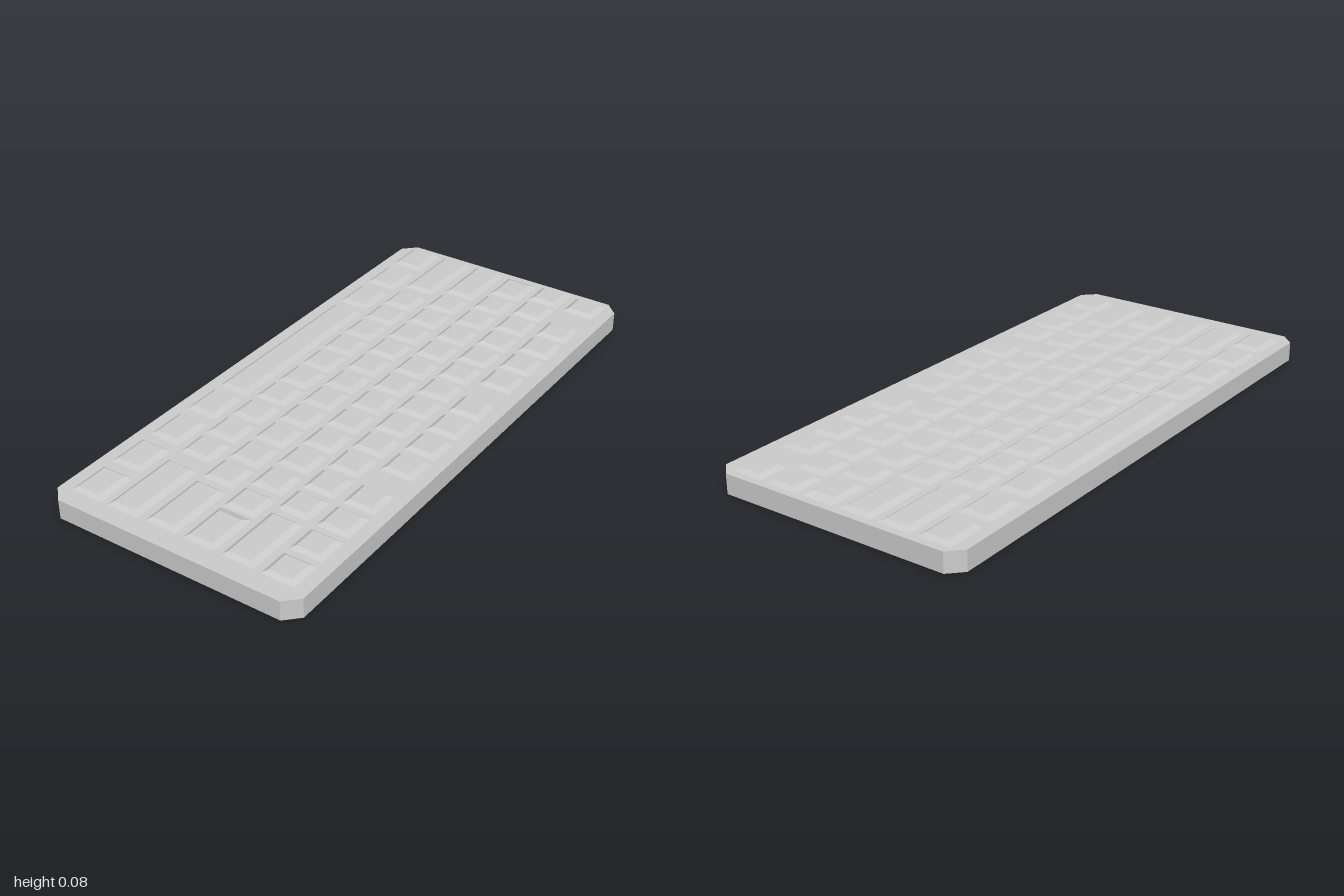
import * as THREE from 'three';

const TOP = 0.068;      // deck height
const KEY_H = 0.012;    // keycap height
const KEY_W = 0.116;    // keycap width across a row
const SMALL = 0.108;    // ordinary key length
const material = new THREE.MeshStandardMaterial({ color: 0xcccccc, flatShading: true });

// Slab with chamfered vertical corners
function makeBody() {
  const w = 0.457, d = 1, c = 0.046;
  const pts = [[w, d - c], [w - c, d], [c - w, d], [-w, d - c], [-w, c - d], [c - w, -d], [w - c, -d], [w, c - d]];
  const shape = new THREE.Shape(pts.map(([x, z]) => new THREE.Vector2(x, -z)));
  const geo = new THREE.ExtrudeGeometry(shape, { depth: TOP, bevelEnabled: false });
  geo.rotateX(-Math.PI / 2);
  const mesh = new THREE.Mesh(geo, material);
  mesh.name = 'caseBody';
  return mesh;
}

// Keycap: a box whose top is drawn inwards; backInset sets the slope at the -z end
function makeKey(name, x, z0, z1, backInset = 0.014) {
  const len = z1 - z0;
  const geo = new THREE.BoxGeometry(KEY_W, KEY_H, len);
  const p = geo.attributes.position;
  for (let i = 0; i < p.count; i++) {
    if (p.getY(i) < 0) continue;
    p.setX(i, p.getX(i) - Math.sign(p.getX(i)) * 0.018);
    p.setZ(i, p.getZ(i) < 0 ? p.getZ(i) + backInset : p.getZ(i) - 0.014);
  }
  geo.computeVertexNormals();
  const mesh = new THREE.Mesh(geo, material);
  mesh.position.set(x, TOP + KEY_H / 2, (z0 + z1) / 2);
  mesh.name = name;
  return mesh;
}

// Each row: runs of equal keys [first centre, count, pitch, length] and single wide keys [start, end]
const rows = [
  { name: 'spaceRow', x: -0.357, runs: [[-0.902, 3, 0.179, 0.142], [0.329, 4, 0.179, 0.142]], wide: [[-0.438, 0.231]] },
  { name: 'shiftRow', x: -0.217, runs: [[-0.602, 10, 0.1276, SMALL]], wide: [[-0.973, -0.698], [0.655, 0.936]] },
  { name: 'homeRow', x: -0.074, runs: [[-0.666, 11, 0.1279, SMALL]], wide: [[-0.973, -0.745], [0.692, 0.93]] },
  { name: 'upperRow', x: 0.069, runs: [[-0.756, 12, 0.1316, SMALL]], wide: [[-0.973, -0.83], [0.755, 0.93]], backInset: 0.028 },
  { name: 'numberRow', x: 0.209, runs: [[-0.923, 13, 0.128, SMALL]], wide: [[0.692, 0.93]] },
  {
    name: 'functionRow', x: 0.352, wide: [],
    runs: [[-0.92, 1, 0, SMALL], [-0.711, 4, 0.1316, SMALL], [-0.117, 4, 0.1316, SMALL], [0.483, 4, 0.1316, SMALL]],
  },
];

export function createModel() {
  const model = new THREE.Group();
  model.name = 'keyboard';
  model.add(makeBody());
  for (const { name, x, runs, wide, backInset } of rows) {
    const row = new THREE.Group();
    row.name = name;
    for (const [first, count, pitch, length] of runs) {
      for (let i = 0; i < count; i++) {
        const z = first + i * pitch;
        row.add(makeKey('key', x, z - length / 2, z + length / 2));
      }
    }
    for (const [z0, z1] of wide) row.add(makeKey('wideKey', x, z0, z1, backInset));
    model.add(row);
  }
  return model;
}
